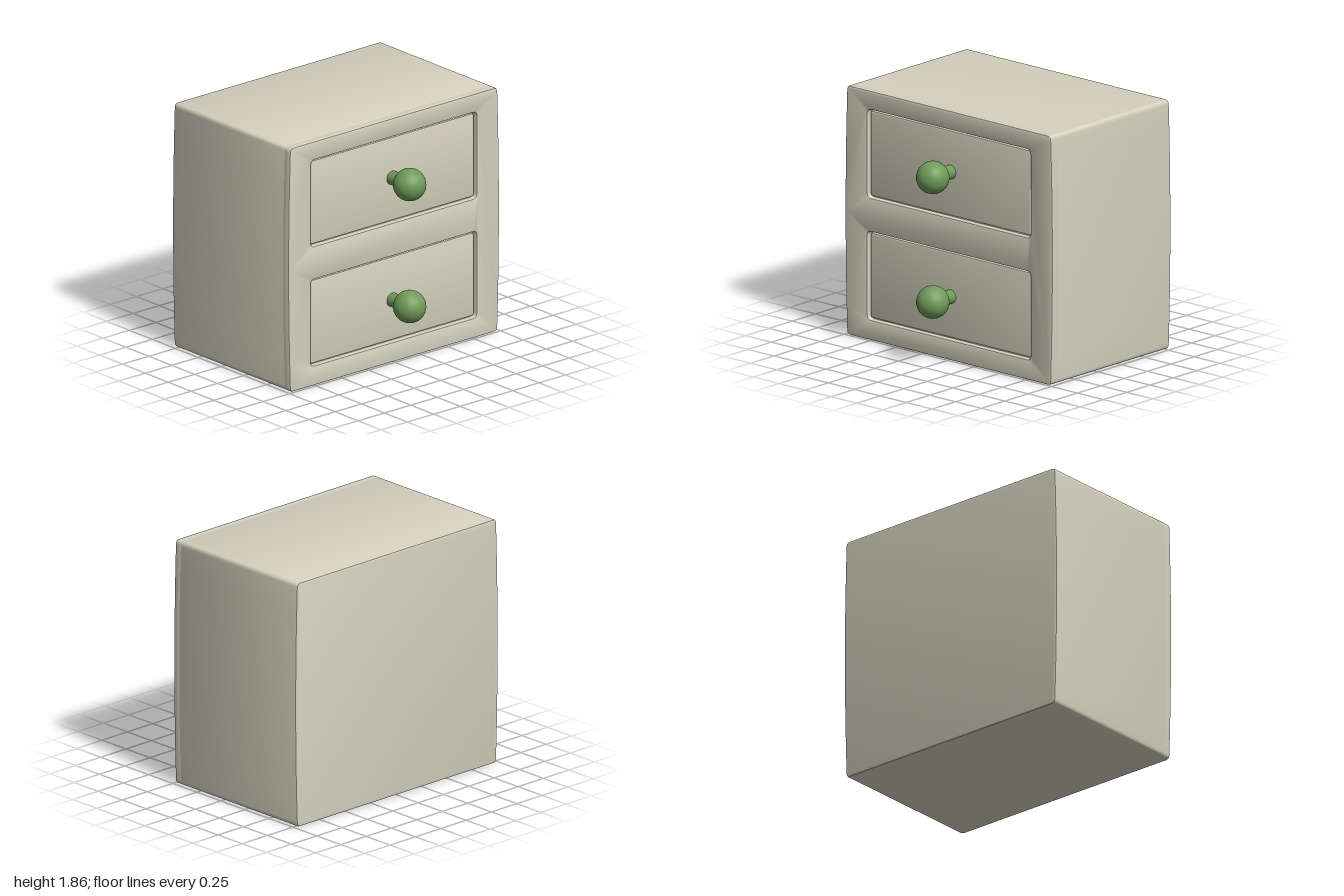
import * as THREE from 'three';
import { toCreasedNormals } from 'three/addons/utils/BufferGeometryUtils.js';

const BEVEL = 0.012;

// Cabinet outline: softly bowed sides and small rounded corners
function cabinetOutline() {
  const s = new THREE.Shape();
  s.moveTo(-0.95, 0);
  s.lineTo(0.95, 0);
  s.quadraticCurveTo(0.982, 0, 0.984, 0.035);
  s.quadraticCurveTo(1.016, 0.93, 0.984, 1.825);
  s.quadraticCurveTo(0.982, 1.86, 0.95, 1.86);
  s.lineTo(-0.95, 1.86);
  s.quadraticCurveTo(-0.982, 1.86, -0.984, 1.825);
  s.quadraticCurveTo(-1.016, 0.93, -0.984, 0.035);
  s.quadraticCurveTo(-0.982, 0, -0.95, 0);
  return s;
}

// Rounded rectangle centred on (0, cy)
function roundedRect(w, h, cy, r, Type = THREE.Shape) {
  const s = new Type();
  const x = w / 2, b = cy - h / 2, t = cy + h / 2;
  s.moveTo(-x + r, b);
  s.lineTo(x - r, b);
  s.quadraticCurveTo(x, b, x, b + r);
  s.lineTo(x, t - r);
  s.quadraticCurveTo(x, t, x - r, t);
  s.lineTo(-x + r, t);
  s.quadraticCurveTo(-x, t, -x, t - r);
  s.lineTo(-x, b + r);
  s.quadraticCurveTo(-x, b, -x + r, b);
  return s;
}

// Bevelled slab whose full section runs from z0 to z1, bevels lying beyond
function slab(shape, z0, z1) {
  const g = new THREE.ExtrudeGeometry(shape, {
    depth: z1 - z0, curveSegments: 10, bevelEnabled: true,
    bevelSize: BEVEL, bevelThickness: BEVEL, bevelOffset: -BEVEL, bevelSegments: 2,
  });
  g.translate(0, 0, z0);
  return toCreasedNormals(g, 0.4);
}

export function createModel() {
  const model = new THREE.Group();
  model.name = 'nightstand';
  const paint = new THREE.MeshStandardMaterial({ color: 0xd4d1bd });
  paint.name = 'cream paint';
  const green = new THREE.MeshStandardMaterial({ color: 0x6f9a58 });
  green.name = 'green knob';

  const add = (parent, name, geometry, material) => {
    const mesh = new THREE.Mesh(geometry, material);
    mesh.name = name;
    parent.add(mesh);
    return mesh;
  };

  // Solid cabinet body behind the front frame
  add(model, 'cabinetBody', slab(cabinetOutline(), -0.768, 0.432), paint);

  // Front frame with an opening for each drawer
  const frame = cabinetOutline();
  const drawerHeights = [0.48, 1.39];
  for (const cy of drawerHeights) {
    frame.holes.push(roundedRect(1.57, 0.658, cy, 0.035, THREE.Path));
  }
  add(model, 'frontFrame', slab(frame, 0.432, 0.478), paint);

  for (const cy of drawerHeights) {
    const drawer = new THREE.Group();
    drawer.name = 'drawer';
    model.add(drawer);

    // Panel sitting in the opening with a narrow groove around it
    add(drawer, 'drawerPanel', slab(roundedRect(1.55, 0.635, cy, 0.02), 0.43, 0.458), paint);

    // Round knob on a short stem
    const knobY = cy < 1 ? 0.47 : 1.4;
    const stem = add(drawer, 'knobStem', new THREE.CylinderGeometry(0.052, 0.052, 0.14, 24), green);
    stem.rotation.x = Math.PI / 2;
    stem.position.set(0, knobY, 0.52);
    const knob = add(drawer, 'knob', new THREE.SphereGeometry(0.12, 32, 20), green);
    knob.position.set(0, knobY, 0.66);
  }
  return model;
}
